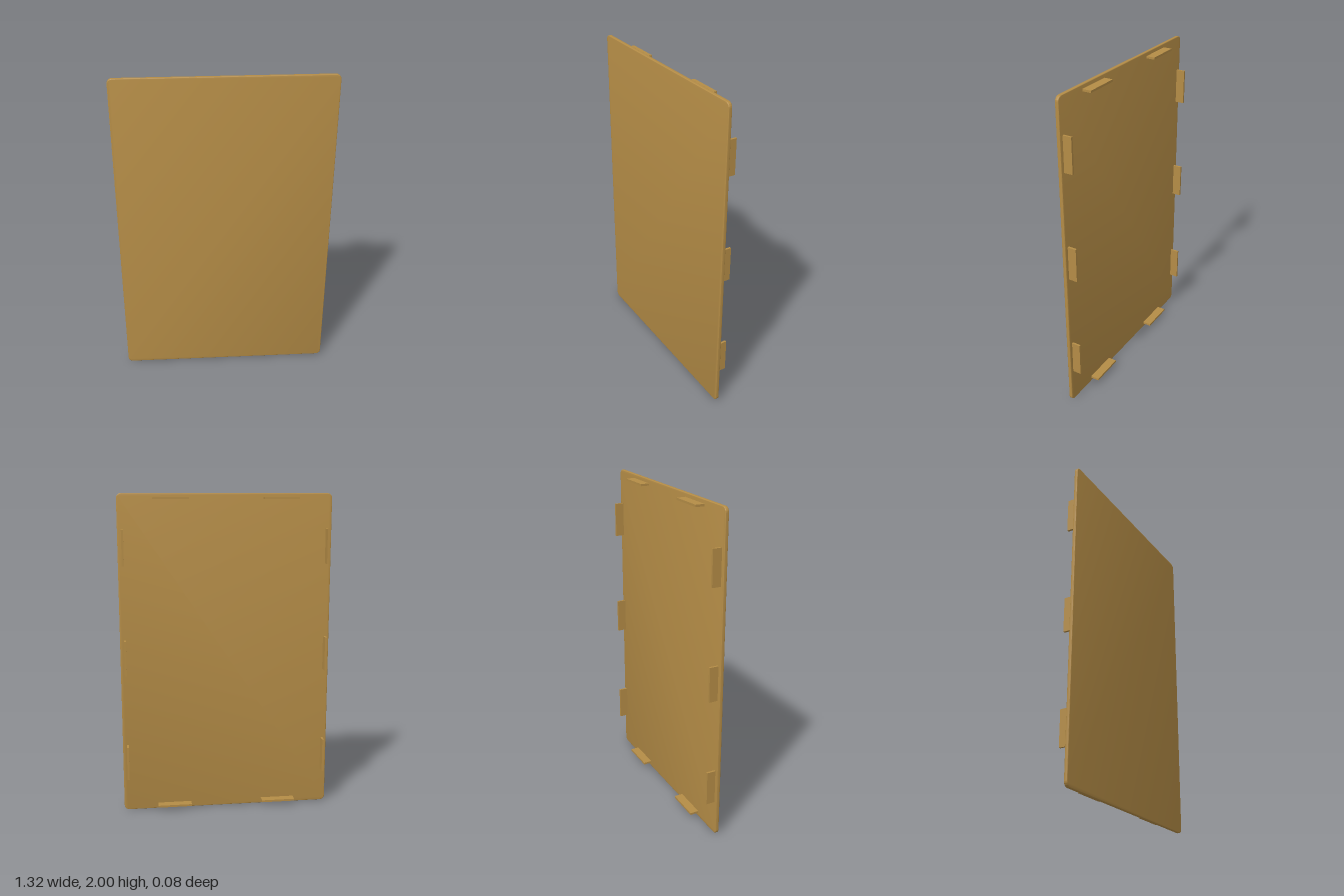
import * as THREE from 'three';
import { toCreasedNormals } from 'three/addons/utils/BufferGeometryUtils.js';

const W = 1.32, H = 2, BACK = -0.038, FRONT = 0.038, PANEL_BACK = 0.016;

// Rounded rectangle centred on the origin
function roundedRect(w, h, r) {
  const x = w / 2, y = h / 2;
  const s = new THREE.Shape();
  s.absarc(x - r, y - r, r, 0, Math.PI / 2);
  s.absarc(-x + r, y - r, r, Math.PI / 2, Math.PI);
  s.absarc(-x + r, -y + r, r, Math.PI, Math.PI * 1.5);
  s.absarc(x - r, -y + r, r, Math.PI * 1.5, Math.PI * 2);
  s.closePath();
  return s;
}

export function createModel() {
  const group = new THREE.Group();
  group.name = 'clipOnPanel';
  const material = new THREE.MeshStandardMaterial({ color: 0xb48c46 });

  // Thin panel with rounded corners and softened edges
  const bevel = 0.004;
  const panelGeometry = new THREE.ExtrudeGeometry(
    roundedRect(W - 2 * bevel, H - 2 * bevel, 0.03 - bevel),
    {
      depth: FRONT - PANEL_BACK - 2 * bevel, curveSegments: 8,
      bevelEnabled: true, bevelSize: bevel, bevelThickness: bevel, bevelSegments: 3,
    });
  panelGeometry.translate(0, H / 2, PANEL_BACK + bevel);
  const panel = new THREE.Mesh(toCreasedNormals(panelGeometry, 0.7), material);
  panel.name = 'panel';
  group.add(panel);

  // Tabs standing out from the back, set in from the edge
  const length = 0.214, thickness = 0.013, inset = 0.03;
  const depth = PANEL_BACK + 0.004 - BACK;
  function addTab(name, w, h, x, y) {
    const tab = new THREE.Mesh(new THREE.BoxGeometry(w, h, depth), material);
    tab.name = name;
    tab.position.set(x, y, BACK + depth / 2);
    group.add(tab);
  }

  for (const side of [-1, 1]) {
    // Three tabs along each long edge
    for (const dy of [-0.675, 0, 0.675]) {
      addTab('sideTab', thickness, length, side * (W / 2 - inset), H / 2 + 0.002 + dy);
    }
    // Two tabs along each short edge
    addTab('topTab', length, thickness, side * 0.337, H - inset);
    addTab('bottomTab', length, thickness, side * 0.337, inset);
  }

  return group;
}
